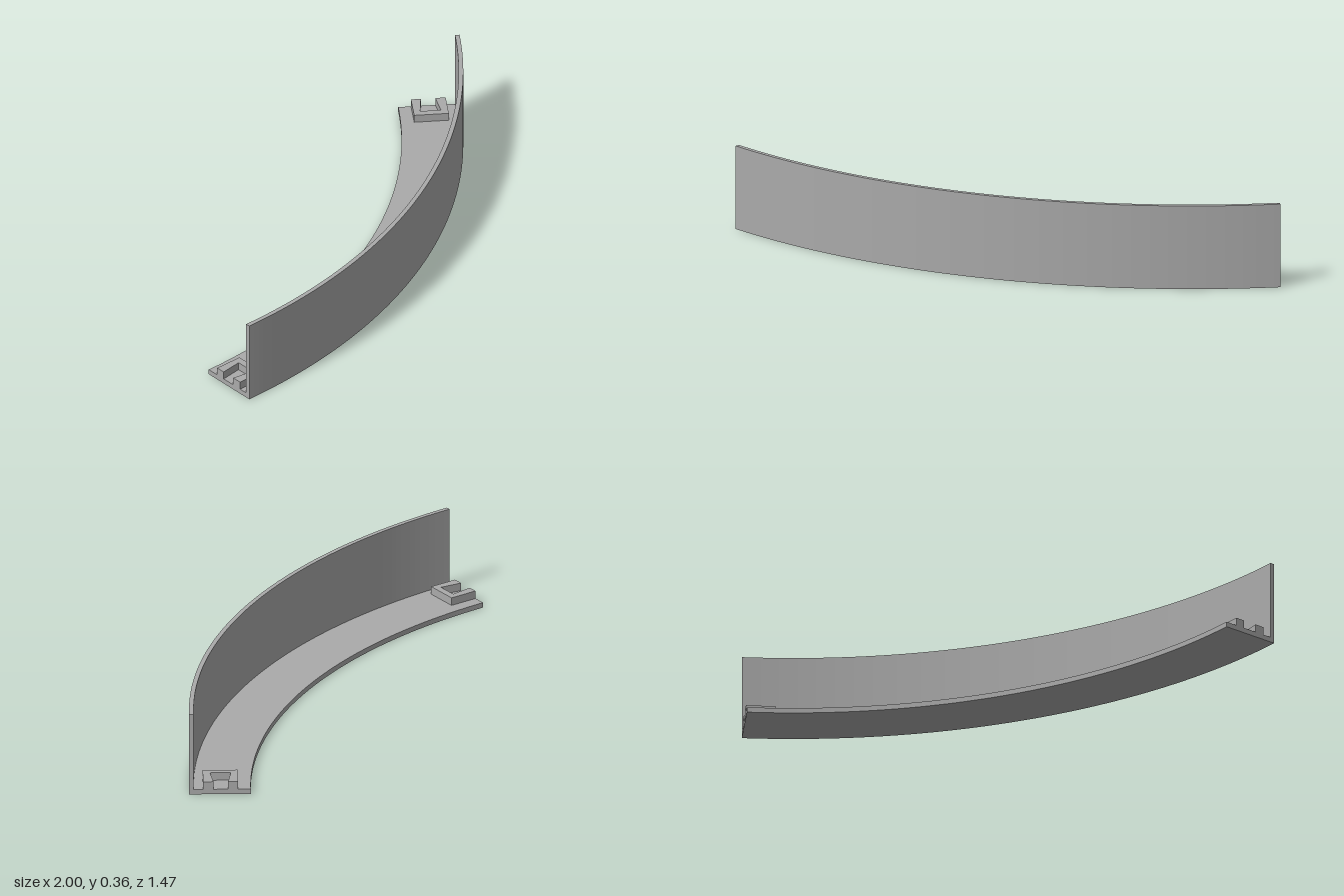
import * as THREE from 'three';

// Arc layout: centre of curvature, radii and end angles (measured from +z towards +x)
const CX = -1.283, CZ = -1.8225;
const R_IN = 2.321, R_OUT = 2.576, WALL = 0.019;
const A0 = THREE.MathUtils.degToRad(6.97), A1 = THREE.MathUtils.degToRad(62.17);
const BASE_H = 0.022, BRACKET_H = 0.056, WALL_H = 0.36;

// Plan shapes use (x, -z); extrusion is turned upright so depth becomes height
function extrudeUp(shape, y0, y1, curveSegments = 1) {
  const geo = new THREE.ExtrudeGeometry(shape, { depth: y1 - y0, bevelEnabled: false, curveSegments });
  geo.rotateX(-Math.PI / 2);
  geo.translate(0, y0, 0);
  return geo;
}

// Curved band between two radii
function bandShape(r0, r1) {
  const s = new THREE.Shape();
  const a = A0 - Math.PI / 2, b = A1 - Math.PI / 2;
  s.absarc(CX, -CZ, r1, a, b, false);
  s.absarc(CX, -CZ, r0, b, a, true);
  s.closePath();
  return s;
}

// Dovetail socket: [distance from inner edge, distance in from the end]
const SOCKET = [
  [0.053, 0], [0.053, 0.122], [0.197, 0.122], [0.197, 0],
  [0.154, 0], [0.167, 0.093], [0.081, 0.093], [0.094, 0],
];

function socketShape(angle, inward) {
  const pts = SOCKET.map(([d, t]) => {
    const r = R_IN + d;
    const x = CX + r * Math.sin(angle) + inward * t * Math.cos(angle);
    const z = CZ + r * Math.cos(angle) - inward * t * Math.sin(angle);
    return new THREE.Vector2(x, -z);
  });
  return new THREE.Shape(pts);
}

export function createModel() {
  const group = new THREE.Group();
  group.name = 'curvedEdging';
  const grey = new THREE.MeshStandardMaterial({ color: 0xaaaaaa });
  grey.name = 'grey';

  const add = (name, geo) => {
    const mesh = new THREE.Mesh(geo, grey);
    mesh.name = name;
    group.add(mesh);
  };

  // Flat floor strip and the tall thin outer wall
  add('baseStrip', extrudeUp(bandShape(R_IN, R_OUT - WALL), 0, BASE_H, 48));
  add('outerWall', extrudeUp(bandShape(R_OUT - WALL, R_OUT), 0, WALL_H, 48));

  // Joining sockets, open at each end
  add('rightSocket', extrudeUp(socketShape(A0, 1), BASE_H, BRACKET_H));
  add('leftSocket', extrudeUp(socketShape(A1, -1), BASE_H, BRACKET_H));

  return group;
}
